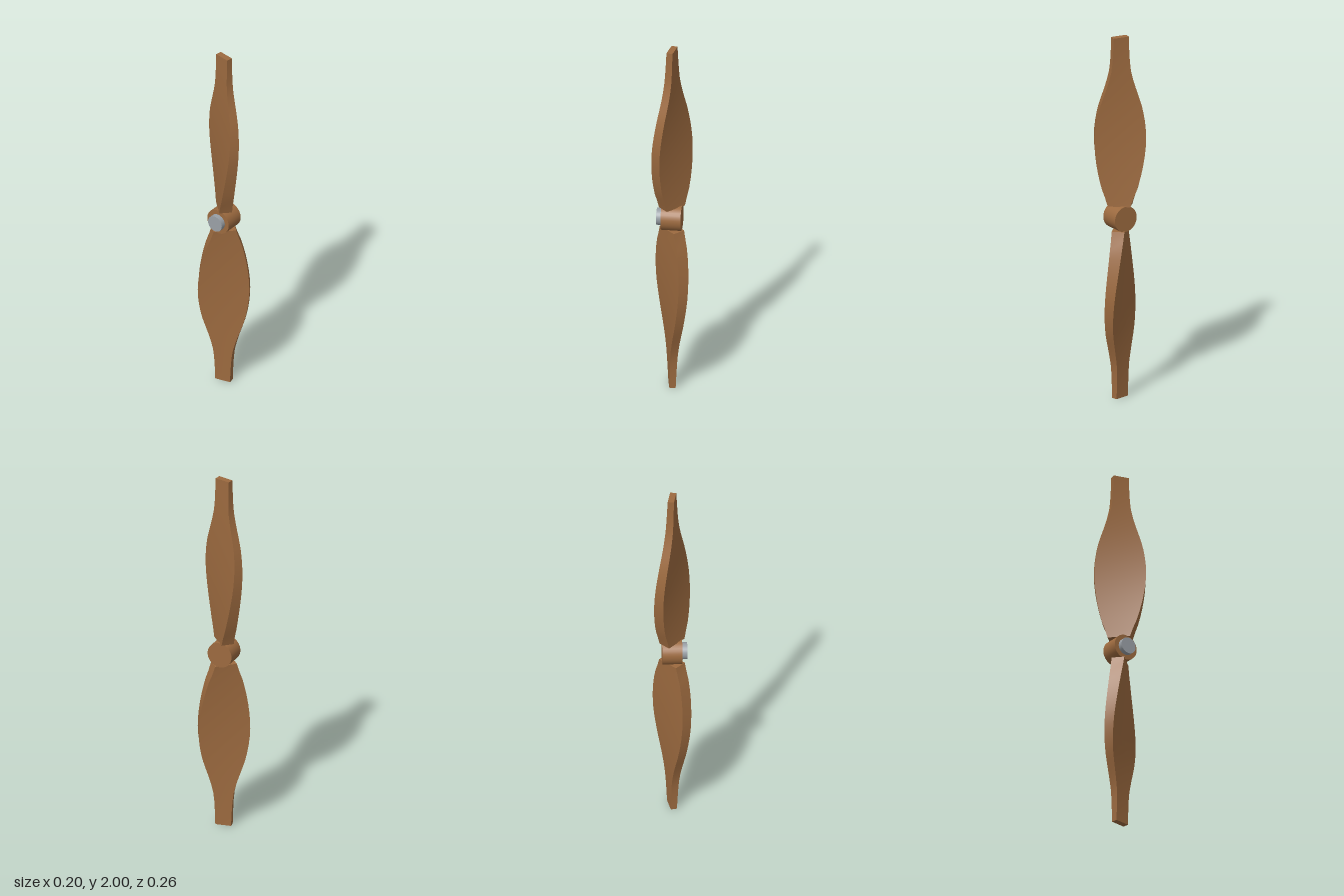
import * as THREE from 'three';
import { toCreasedNormals } from 'three/addons/utils/BufferGeometryUtils.js';

const ROOT = 0.065, TIP = 1; // blade span measured from the hub axis
// half-widths at even steps from root to tip
const HALF_WIDTHS = [0.06, 0.092, 0.115, 0.13, 0.136, 0.129, 0.11, 0.079, 0.054, 0.046, 0.043];

// a box whose cross-sections are resized and twisted along its length
function bladeGeometry() {
  const widths = new THREE.SplineCurve(HALF_WIDTHS.map((w, i) => new THREE.Vector2(i, w)));
  const geometry = new THREE.BoxGeometry(2, 1, 2, 1, 20, 1);
  const p = geometry.attributes.position;
  for (let i = 0; i < p.count; i++) {
    const t = THREE.MathUtils.clamp(p.getY(i) + 0.5, 0, 1);
    const thick = p.getX(i) * THREE.MathUtils.lerp(0.034, 0.0165, t);
    const wide = p.getZ(i) * widths.getPoint(t).y;
    const a = THREE.MathUtils.degToRad(THREE.MathUtils.lerp(45, 11, t));
    p.setXYZ(i,
      thick * Math.cos(a) - wide * Math.sin(a),
      THREE.MathUtils.lerp(ROOT, TIP, t),
      thick * Math.sin(a) + wide * Math.cos(a));
  }
  return toCreasedNormals(geometry, Math.PI / 6);
}

// cylinder lying along x between two ends
function axle(name, radius, x0, x1, material) {
  const geometry = new THREE.CylinderGeometry(radius, radius, x1 - x0, 32).rotateZ(Math.PI / 2);
  const mesh = new THREE.Mesh(geometry, material);
  mesh.name = name;
  mesh.position.x = (x0 + x1) / 2;
  return mesh;
}

export function createModel() {
  const wood = new THREE.MeshStandardMaterial({ color: 0x9c6a3f });
  wood.name = 'wood';
  const metal = new THREE.MeshStandardMaterial({ color: 0x9aa0a6 });
  metal.name = 'metal';

  const propeller = new THREE.Group();
  propeller.name = 'propeller';
  propeller.position.y = 1;

  // hub and the short shaft behind it
  propeller.add(axle('hub', 0.07, -0.053, 0.053, wood));
  propeller.add(axle('shaft', 0.045, -0.08, -0.05, metal));

  // two blades, half a turn apart
  const geometry = bladeGeometry();
  ['upperBlade', 'lowerBlade'].forEach((name, i) => {
    const blade = new THREE.Mesh(geometry, wood);
    blade.name = name;
    blade.rotation.x = i * Math.PI;
    propeller.add(blade);
  });

  const model = new THREE.Group();
  model.add(propeller);
  return model;
}
